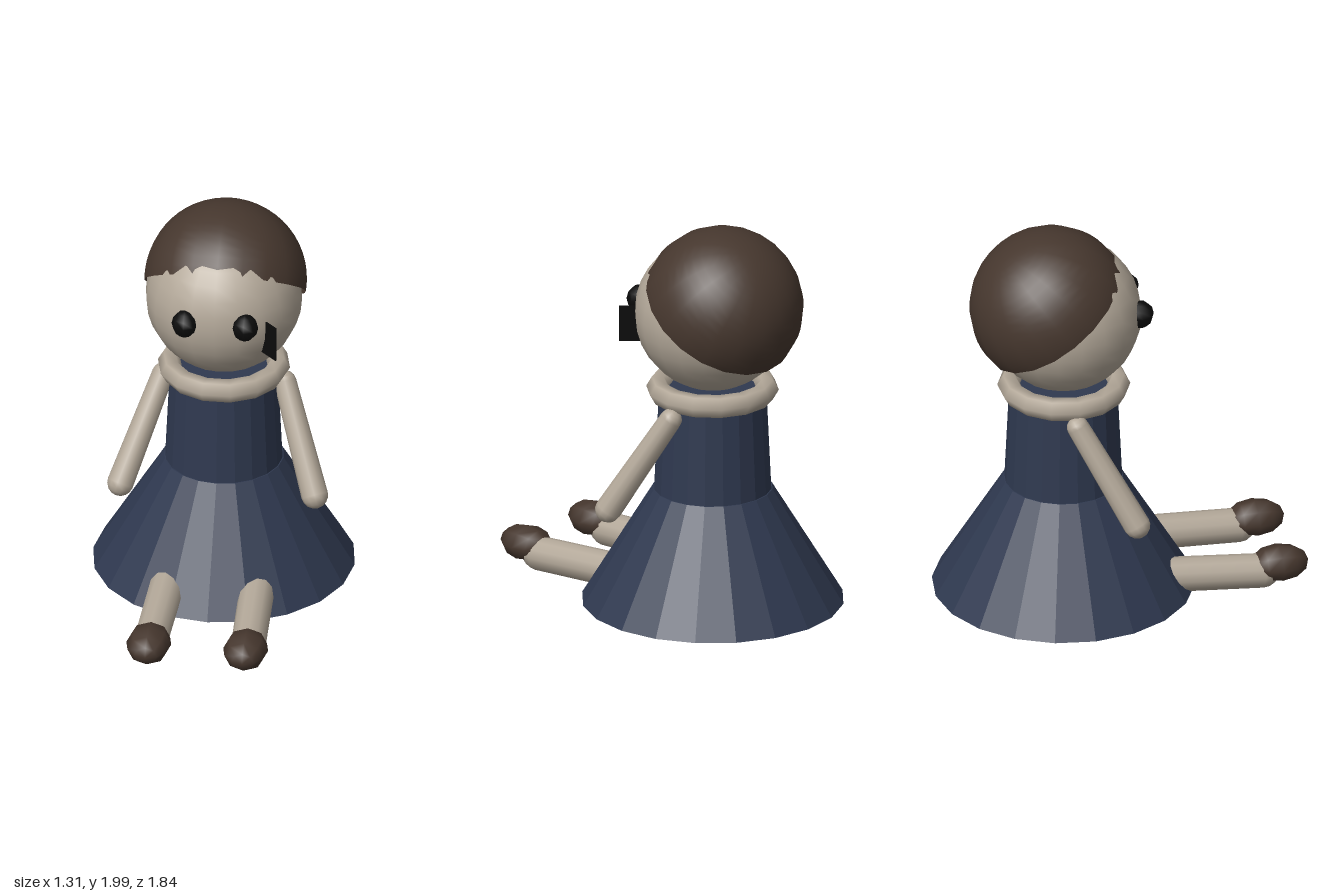
import * as THREE from 'three';

export function createModel() {
  const doll = new THREE.Group();
  doll.name = 'doll';

  const mat = (name, color, extra = {}) => {
    const m = new THREE.MeshStandardMaterial({ color, ...extra });
    m.name = name;
    return m;
  };
  const skin = mat('skin', 0xb3a899);
  const navy = mat('navyCloth', 0x2f3950, { flatShading: true });
  const brown = mat('brown', 0x46372e, { side: THREE.DoubleSide });
  const black = mat('black', 0x0b0b0b);

  const add = (name, geometry, material, x = 0, y = 0, z = 0) => {
    const mesh = new THREE.Mesh(geometry, material);
    mesh.name = name;
    mesh.position.set(x, y, z);
    doll.add(mesh);
    return mesh;
  };
  const up = new THREE.Vector3(0, 1, 0);

  // Tapered limb from a to b with a rounded joint at each end
  const limb = (name, a, b, ra, rb, sides) => {
    const dir = b.clone().sub(a);
    const mid = a.clone().add(b).multiplyScalar(0.5);
    const tube = add(name, new THREE.CylinderGeometry(rb, ra, dir.length(), sides, 1, true), skin, ...mid);
    const turn = new THREE.Quaternion().setFromUnitVectors(up, dir.normalize());
    tube.quaternion.copy(turn);
    for (const [p, r] of [[a, ra], [b, rb]]) {
      add(name + 'End', new THREE.SphereGeometry(r, sides, 8), skin, ...p).quaternion.copy(turn);
    }
  };

  // Dress
  const cz = -0.267;
  add('skirt', new THREE.CylinderGeometry(0.298, 0.653, 0.59, 20), navy, 0, 0.335, cz);
  add('bodice', new THREE.CylinderGeometry(0.268, 0.293, 0.53, 20), navy, 0, 0.89, cz);

  // Ring collar
  const ring = new THREE.TorusGeometry(0.272, 0.058, 6, 14);
  ring.rotateX(Math.PI / 2);
  add('collar', ring, skin, 0, 1.15, -0.265);

  // Head and a tilted cap of hair
  add('head', new THREE.SphereGeometry(0.39, 20, 16), skin, 0, 1.55, -0.268);
  const hair = new THREE.SphereGeometry(0.405, 20, 14, 0, Math.PI * 2, 0, 1.645);
  hair.rotateX(-0.645);
  add('hair', hair, brown, 0, 1.595, -0.33);

  // Thin upright plate standing out of the left cheek
  const plate = add('cheekPlate', new THREE.BoxGeometry(0.15, 0.185, 0.008), black, 0.252, 1.483, 0.03);
  plate.rotation.y = -Math.PI / 4;

  for (const [side, s] of [['left', 1], ['right', -1]]) {
    const eye = add(side + 'Eye', new THREE.SphereGeometry(0.07, 8, 6), black, s * 0.15, 1.573, 0.087);
    eye.scale.x = 0.95;

    limb(side + 'Arm', new THREE.Vector3(s * 0.305, 1.065, -0.27),
      new THREE.Vector3(s * 0.485, 0.573, -0.015), 0.056, 0.067, 12);

    limb(side + 'Leg', new THREE.Vector3(s * 0.22, 0.135, 0.1),
      new THREE.Vector3(s * 0.243, 0.096, 0.69), 0.088, 0.086, 12);

    // Egg-shaped shoe
    const shoe = new THREE.SphereGeometry(1, 8, 6);
    shoe.rotateX(Math.PI / 2);
    shoe.scale(0.112, 0.09, 0.148);
    add(side + 'Shoe', shoe, brown, s * 0.242, 0.13, 0.775);
  }

  return doll;
}
